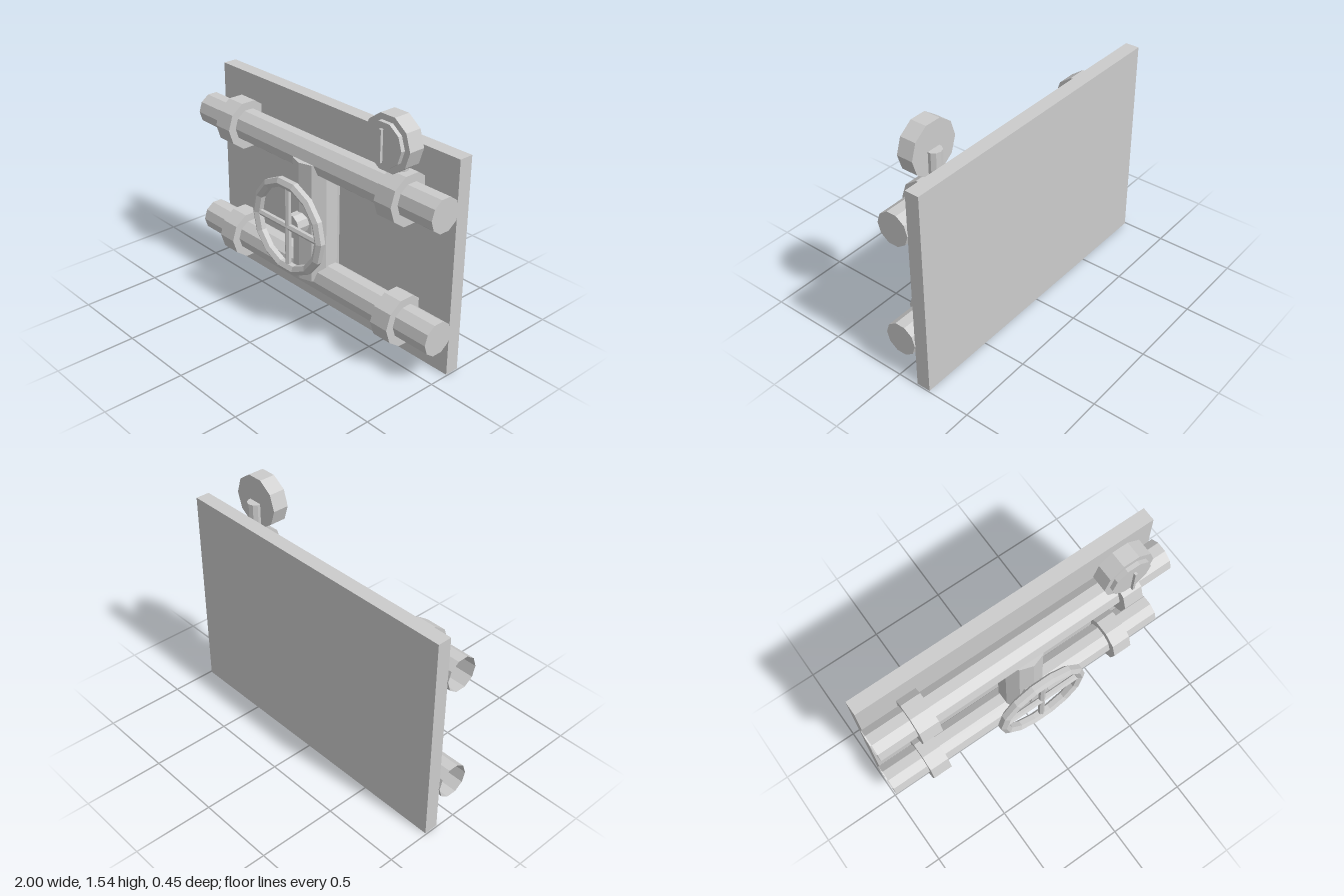
import * as THREE from 'three';

const metal = new THREE.MeshStandardMaterial({ color: 0xcccccc, flatShading: true, side: THREE.DoubleSide });
metal.name = 'grey metal';

const SIDES = 10;
const PIPE_Z = -0.03;
const LOW_Y = 0.29, HIGH_Y = 1.055;
const WHEEL_Y = (LOW_Y + HIGH_Y) / 2;

export function createModel() {
  const model = new THREE.Group();
  model.name = 'valveOnPipes';

  const add = (parent, name, geometry, x, y, z) => {
    const mesh = new THREE.Mesh(geometry, metal);
    mesh.name = name;
    mesh.position.set(x, y, z);
    parent.add(mesh);
    return mesh;
  };

  // Ten-sided bar along a chosen axis, centred on its own origin
  const bar = (axis, radius, length, open = false, sides = SIDES) => {
    const start = axis === 'z' ? Math.PI / 2 : 0;
    const g = new THREE.CylinderGeometry(radius, radius, length, sides, 1, open, start);
    if (axis === 'x') g.rotateZ(-Math.PI / 2);
    if (axis === 'z') g.rotateX(Math.PI / 2);
    return g;
  };

  // Backing plate
  add(model, 'wallPlate', new THREE.BoxGeometry(1.985, 1.34, 0.09), 0, 0.67, -0.175);

  // Two horizontal pipes, closed on one end, each with two collars
  for (const [label, y] of [['lower', LOW_Y], ['upper', HIGH_Y]]) {
    const pipe = new THREE.Group();
    pipe.name = label + 'Pipe';
    pipe.position.set(0, y, PIPE_Z);
    add(pipe, 'pipeTube', bar('x', 0.105, 2, true), 0, 0, 0);
    add(pipe, 'pipeEnd', new THREE.CircleGeometry(0.105, SIDES).rotateY(Math.PI / 2), 1, 0, 0);
    for (const side of [-1, 1]) {
      add(pipe, 'pipeCollar', bar('x', 0.157, 0.128), side * 0.692, 0, 0);
    }
    model.add(pipe);
  }

  // Thicker upright pipe joining them
  add(model, 'uprightPipe', bar('y', 0.14, HIGH_Y - LOW_Y), 0, WHEEL_Y, PIPE_Z);

  // Hand wheel: hub, six-sided rim turned to a flat outer edge, crossed spokes
  const wheel = new THREE.Group();
  wheel.name = 'handWheel';
  wheel.position.set(0, WHEEL_Y, 0.193);
  add(wheel, 'hub', bar('z', 0.068, 0.14), 0, 0, -0.09);
  const rim = new THREE.TorusGeometry(0.277, 0.0325, 6, 14);
  const p = rim.attributes.position;
  for (let i = 0; i < p.count; i++) {
    const ring = Math.floor(i / 15), turn = (i % 15) / 14 * Math.PI * 2;
    const a = (ring + 0.5) / 6 * Math.PI * 2;
    const r = 0.277 + 0.0325 * Math.cos(a);
    p.setXYZ(i, r * Math.cos(turn), r * Math.sin(turn), 0.0325 * Math.sin(a));
  }
  rim.computeVertexNormals();
  add(wheel, 'rim', rim, 0, 0, 0);
  for (const axis of ['x', 'y']) {
    add(wheel, 'spoke', bar(axis, 0.02, 0.54, false, 6), 0, 0, 0);
  }
  model.add(wheel);

  // Pressure gauge on a stem
  const gauge = new THREE.Group();
  gauge.name = 'gauge';
  gauge.position.set(0.66, 1.38, 0);
  add(gauge, 'gaugeStem', bar('y', 0.047, 0.3), 0.004, -0.15, -0.035);
  add(gauge, 'gaugeBody', bar('z', 0.168, 0.104), 0, 0, 0.021);
  add(gauge, 'gaugeFace', bar('z', 0.131, 0.026), 0, 0, 0.086);
  add(gauge, 'gaugeNeedle', new THREE.BoxGeometry(0.016, 0.19, 0.017), 0, 0, 0.119);
  model.add(gauge);

  return model;
}
